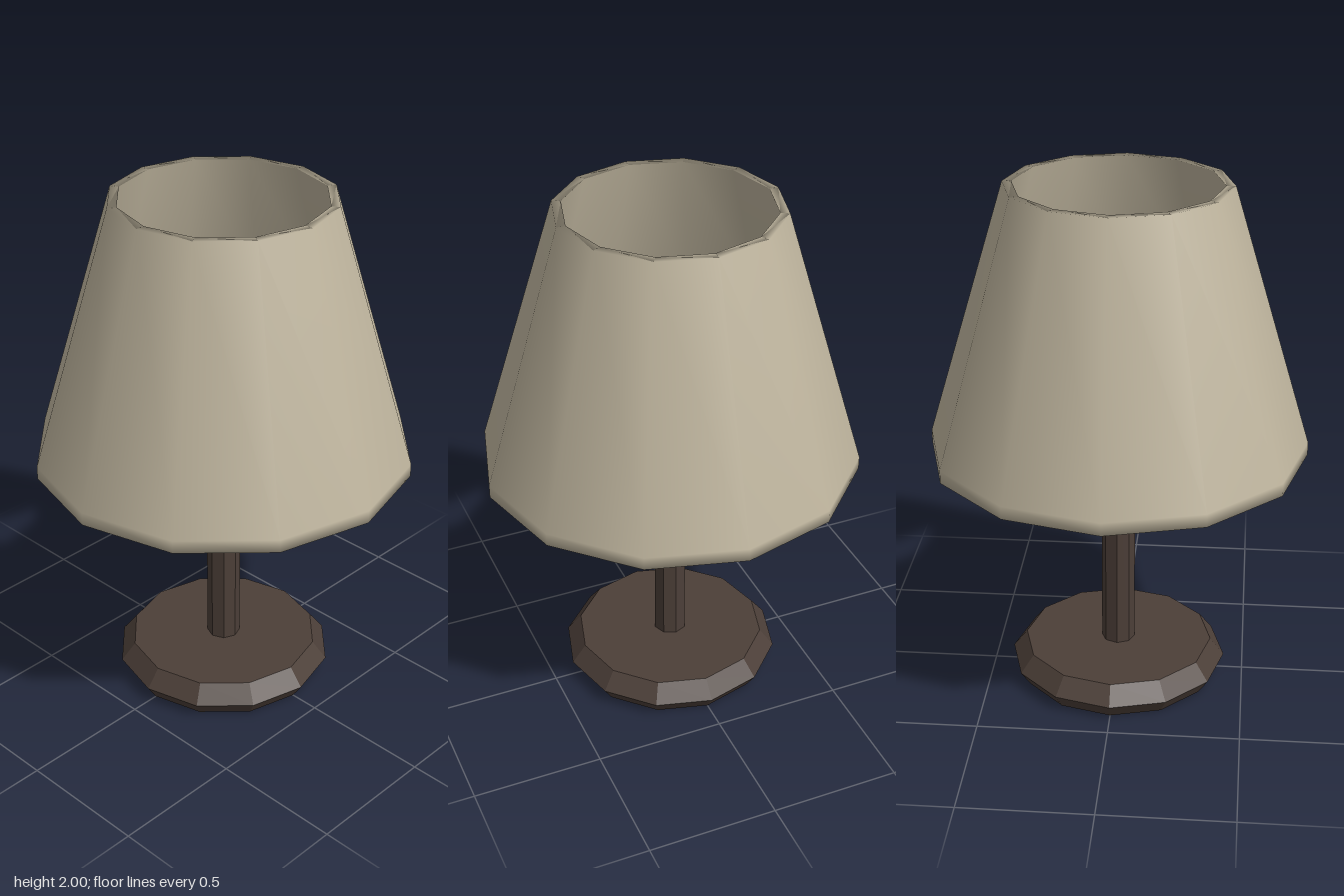
import * as THREE from 'three';

const cream = new THREE.MeshStandardMaterial({ color: 0xbfb59e });
cream.name = 'cream';
const darkWood = new THREE.MeshStandardMaterial({ color: 0x4c3f38 });
darkWood.name = 'darkWood';

// Turns a profile of [radius, height] points, listed from the bottom up the outside
function turned(name, profile, sides, material, faceted = false) {
  let geometry = new THREE.LatheGeometry(profile.map(([r, y]) => new THREE.Vector2(r, y)), sides);
  if (faceted) {
    geometry = geometry.toNonIndexed();
    geometry.computeVertexNormals();
  }
  const mesh = new THREE.Mesh(geometry, material);
  mesh.name = name;
  return mesh;
}

export function createModel() {
  const lamp = new THREE.Group();
  lamp.name = 'tableLamp';

  // Twelve-sided foot with a bevel above and below its widest line
  lamp.add(turned('base', [[0, 0], [0.385, 0], [0.425, 0.06], [0.37, 0.13], [0, 0.13]], 12, darkWood, true));

  // Octagonal post
  lamp.add(turned('post', [[0, 0.12], [0.065, 0.12], [0.065, 1.1], [0, 1.1]], 8, darkWood, true));

  // Round bulb with a small flat tip
  lamp.add(turned('bulb', [
    [0, 1.08], [0.08, 1.08], [0.125, 1.14], [0.13, 1.21], [0.1, 1.28], [0.05, 1.32], [0, 1.325],
  ], 8, cream));

  // Hollow shade: a closed wall section that starts and ends halfway up the inside
  lamp.add(turned('shade', [
    [0.537, 1.48], [0.685, 0.99], [0.685, 0.96], [0.72, 0.96], [0.72, 1.01],
    [0.42, 2], [0.385, 2], [0.537, 1.48],
  ], 12, cream));

  return lamp;
}
